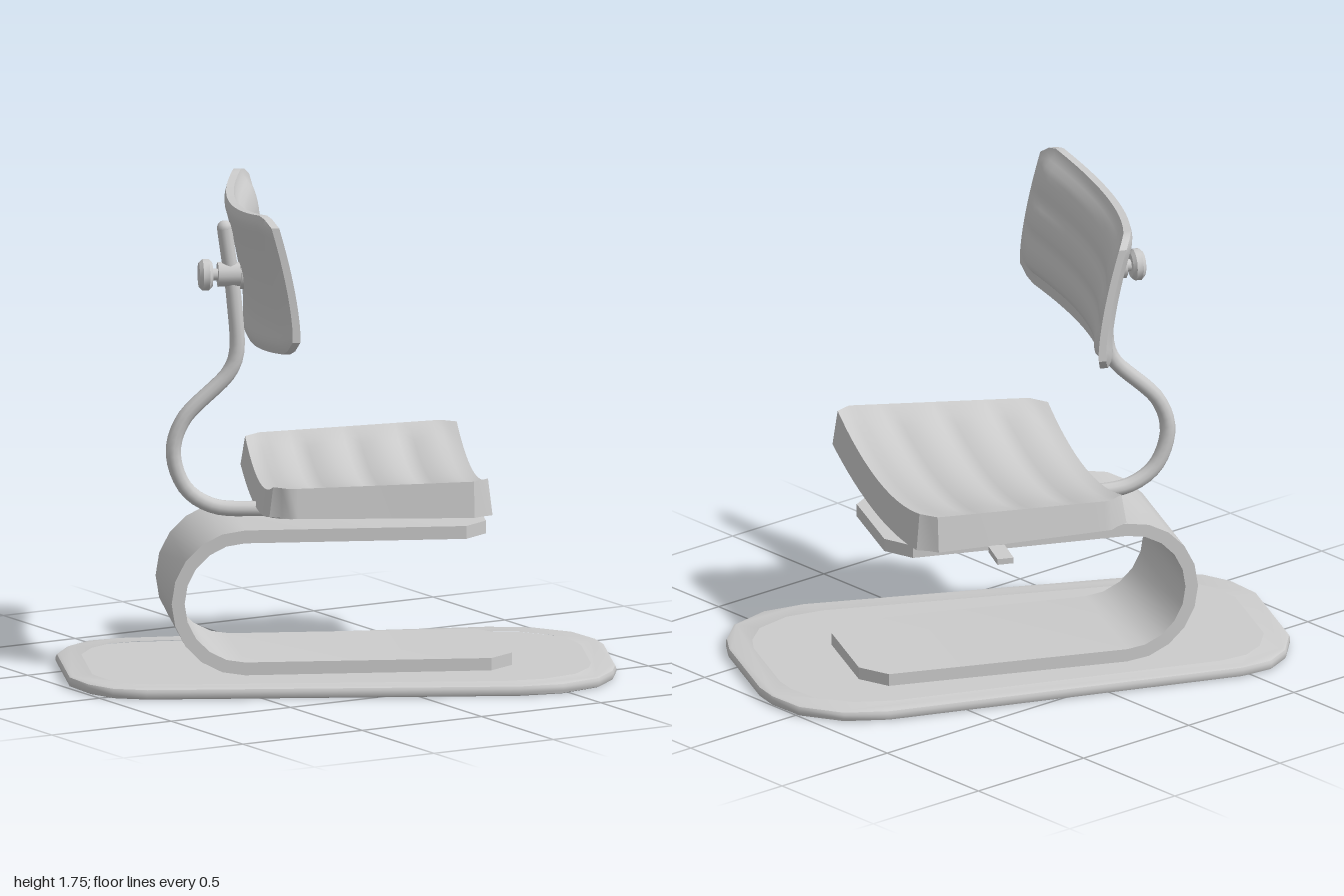
import * as THREE from 'three';
import { toCreasedNormals } from 'three/addons/utils/BufferGeometryUtils.js';

const material = new THREE.MeshStandardMaterial({ color: 0xcccccc });

function add(parent, name, geometry, x = 0, y = 0, z = 0) {
  const mesh = new THREE.Mesh(geometry, material);
  mesh.name = name;
  mesh.position.set(x, y, z);
  parent.add(mesh);
  return mesh;
}

// Skin closed rings; each ring is a front row followed by the reversed back row.
function loft(rings, crease = 0.6) {
  const n = rings[0].length;
  const p = rings.flat();
  const tris = [];
  const quad = (a, b, c, d) => tris.push([a, b, c], [a, c, d]);
  for (let i = 0; i < rings.length - 1; i++) {
    for (let j = 0; j < n; j++) {
      const k = (j + 1) % n;
      quad(i * n + j, i * n + k, (i + 1) * n + k, (i + 1) * n + j);
    }
  }
  const last = (rings.length - 1) * n;
  for (let j = 0; j < n / 2 - 1; j++) {
    quad(j, n - 1 - j, n - 2 - j, j + 1);
    quad(last + j, last + j + 1, last + n - 2 - j, last + n - 1 - j);
  }
  // The sign of the enclosed volume decides the winding.
  const v = p.map((q) => new THREE.Vector3(...q));
  const cross = new THREE.Vector3();
  let volume = 0;
  for (const [a, b, c] of tris) volume += v[a].dot(cross.crossVectors(v[b], v[c]));
  if (volume < 0) tris.forEach((t) => t.reverse());
  const g = new THREE.BufferGeometry();
  g.setAttribute('position', new THREE.Float32BufferAttribute(p.flat(), 3));
  g.setIndex(tris.flat());
  return toCreasedNormals(g, crease);
}

const range = (n, f) => Array.from({ length: n + 1 }, (_, i) => f(i / n));

// Tapered floor plate with a raised rim
function buildBase(parent) {
  const half = [[-0.995, 0.22], [-0.94, 0.36], [-0.86, 0.45], [-0.74, 0.49],
    [0.6, 0.56], [0.76, 0.53], [0.9, 0.43], [0.965, 0.3], [0.985, 0.2]];
  const mirrored = [...half, ...half.map(([x, z]) => [x, -z]).reverse()];
  const outline = (sx, sz) => mirrored.map(([x, z]) => new THREE.Vector2(x * sx, z * sz));
  const rim = new THREE.Shape(outline(1, 1));
  rim.holes.push(new THREE.Path(outline(0.925, 0.86)));
  const rimGeo = new THREE.ExtrudeGeometry(rim, {
    depth: 0.014, bevelThickness: 0.013, bevelSize: 0.014, bevelOffset: -0.014, bevelSegments: 2 });
  add(parent, 'baseRim', toCreasedNormals(rimGeo.rotateX(-Math.PI / 2), 0.7), 0, 0.013, -0.01);
  const plate = new THREE.ExtrudeGeometry(new THREE.Shape(outline(0.94, 0.88)), { depth: 0.032, bevelEnabled: false });
  add(parent, 'basePlate', plate.rotateX(-Math.PI / 2), 0, 0.001, -0.01);
}

// Flat strip bent into a C, with clipped free corners
function buildFrame(parent) {
  const sections = [[0.615, 0.035, 0.615, 0.08, 0.18], [0.53, 0.035, 0.53, 0.08, 0.275]];
  for (let i = 0; i <= 10; i++) {
    const a = (Math.PI * i) / 10, s = Math.sin(a), c = Math.cos(a);
    sections.push([-0.36 - 0.265 * s, 0.3 - 0.265 * c, -0.36 - 0.218 * s, 0.3 - 0.218 * c, 0.275]);
  }
  sections.push([0.44, 0.565, 0.44, 0.518, 0.275], [0.52, 0.565, 0.52, 0.518, 0.18]);
  const rings = sections.map(([ox, oy, ix, iy, w]) => [[ox, oy, -w], [ox, oy, w], [ix, iy, w], [ix, iy, -w]]);
  add(parent, 'curvedFrame', loft(rings));
}

// Dished seat, wider in front, with soft cross ribs
function buildSeat(parent) {
  const rows = range(28, (s) => {
    const u = -0.28 + 0.77 * s;
    const end = Math.min(s, 1 - s);
    const clip = 0.05 * Math.max(0, 1 - end / 0.072);
    const w = 0.53 + 0.055 * s - clip;
    const flare = s === 0 ? -0.015 : s === 1 ? 0.015 : 0;
    const fade = Math.min(1, end / 0.07);
    const top = range(16, (k) => {
      const t = 2 * k - 1;
      const inner = Math.min(1, (1 - Math.abs(t)) / 0.2);
      const rib = 0.02 * Math.abs(Math.sin(Math.PI * 4 * s)) - 0.016;
      const y = 0.69 + 0.027 * s + 0.072 * t * t + rib * fade * inner;
      return [u, y, t * w];
    });
    const bottom = range(16, (k) => {
      const t = 1 - 2 * k;
      const lift = Math.abs(t) < 0.93 && end > 0.05 ? 0.02 : 0;
      return [u + flare, 0.602 + 0.055 * t * t + lift, t * (w + 0.015)];
    });
    return [...top, ...bottom];
  });
  add(parent, 'seat', loft(rows, 0.7));
}

// Curved backrest with three padded bands inside a border
function buildBackrest(parent) {
  const lean = (y) => -0.09 * Math.pow(Math.max(0, (y - 1.32) / 0.44), 1.5) - 0.02 * Math.max(0, 1.32 - y);
  const rows = range(28, (s) => {
    const t = 2 * s - 1;
    const z = t * 0.515;
    const clip = 0.045 * Math.max(0, (Math.abs(t) - 0.9) / 0.1);
    const bend = -0.275 + 0.1 * t * t;
    const pad = Math.min(1, Math.max(0, (0.96 - Math.abs(t)) / 0.05));
    const low = 1.21 + 0.04 * t * t + clip, high = 1.72 + 0.04 * t * t - clip;
    const front = range(24, (f) => {
      const y = low + (high - low) * f;
      const q = (f - 1 / 12) / (10 / 12);
      const bulge = q > 0 && q < 1 ? 0.008 + 0.016 * Math.sqrt(Math.abs(Math.sin(3 * Math.PI * q))) : 0;
      return [bend + lean(y) + bulge * pad - 0.01, y, z];
    });
    const back = range(24, (k) => {
      const f = 1 - k;
      const y = low + (high - low) * f;
      const edge = Math.min(1, Math.min(f, 1 - f) / 0.06, (1 - Math.abs(t)) / 0.06);
      return [bend + lean(y) - 0.038 - 0.017 * edge, y, z];
    });
    return [...front, ...back];
  });
  add(parent, 'backrest', loft(rows, 0.6));
}

// Bent post, clamp and knob that carry the backrest
function buildPost(parent) {
  const points = [[-0.15, 0.592], [-0.3, 0.59], [-0.45, 0.605], [-0.545, 0.67], [-0.59, 0.8],
    [-0.555, 0.92], [-0.39, 1.09], [-0.362, 1.16], [-0.37, 1.35], [-0.405, 1.62]]
    .map(([x, y]) => new THREE.Vector3(x, y, 0));
  const curve = new THREE.CatmullRomCurve3(points, false, 'centripetal');
  add(parent, 'backPost', new THREE.TubeGeometry(curve, 48, 0.028, 10, false));
  const end = points[points.length - 1];
  add(parent, 'postCap', new THREE.SphereGeometry(0.028, 10, 6), end.x, end.y, 0);
  const disc = (name, r, length, x) =>
    add(parent, name, new THREE.CylinderGeometry(r, r, length, 12).rotateZ(Math.PI / 2), x, 1.45, 0);
  disc('clampPlate', 0.055, 0.03, -0.335);
  disc('clampCollar', 0.045, 0.09, -0.385);
  disc('clampBolt', 0.022, 0.16, -0.4);
  const knob = [[0, 0], [0.045, 0], [0.058, 0.012], [0.058, 0.035], [0.045, 0.048], [0, 0.048]]
    .map(([r, y]) => new THREE.Vector2(r, y));
  const knobGeo = toCreasedNormals(new THREE.LatheGeometry(knob, 12), 0.6);
  add(parent, 'clampKnob', knobGeo.rotateZ(Math.PI / 2), -0.45, 1.45, 0);
}

// Mounting plates, pivot, nut and lever under the seat
function buildMount(parent) {
  add(parent, 'pivotDisc', new THREE.CylinderGeometry(0.085, 0.085, 0.055, 12), -0.17, 0.592, 0);
  add(parent, 'pivotNut', new THREE.CylinderGeometry(0.058, 0.03, 0.035, 8), -0.17, 0.5, 0);
  add(parent, 'mountBar', new THREE.BoxGeometry(0.42, 0.05, 0.12), 0.04, 0.588, 0);
  add(parent, 'mountPlate', new THREE.BoxGeometry(0.2, 0.045, 0.34), 0.06, 0.625, 0);
  const lever = add(parent, 'lever', new THREE.BoxGeometry(0.03, 0.014, 0.42), 0.17, 0.588, -0.27);
  lever.rotation.x = -0.05;
  const grip = add(parent, 'leverGrip', new THREE.BoxGeometry(0.06, 0.022, 0.12), 0.17, 0.578, -0.48);
  grip.rotation.x = -0.05;
}

export function createModel() {
  const model = new THREE.Group();
  model.name = 'chair';
  const turned = new THREE.Group();
  turned.name = 'turnedChair';
  turned.rotation.y = THREE.MathUtils.degToRad(-25);
  model.add(turned);
  buildBase(turned);

  const upper = new THREE.Group();
  upper.name = 'chairBody';
  upper.position.z = -0.045;
  turned.add(upper);
  buildFrame(upper);
  buildSeat(upper);
  buildBackrest(upper);
  buildPost(upper);
  buildMount(upper);
  return model;
}
